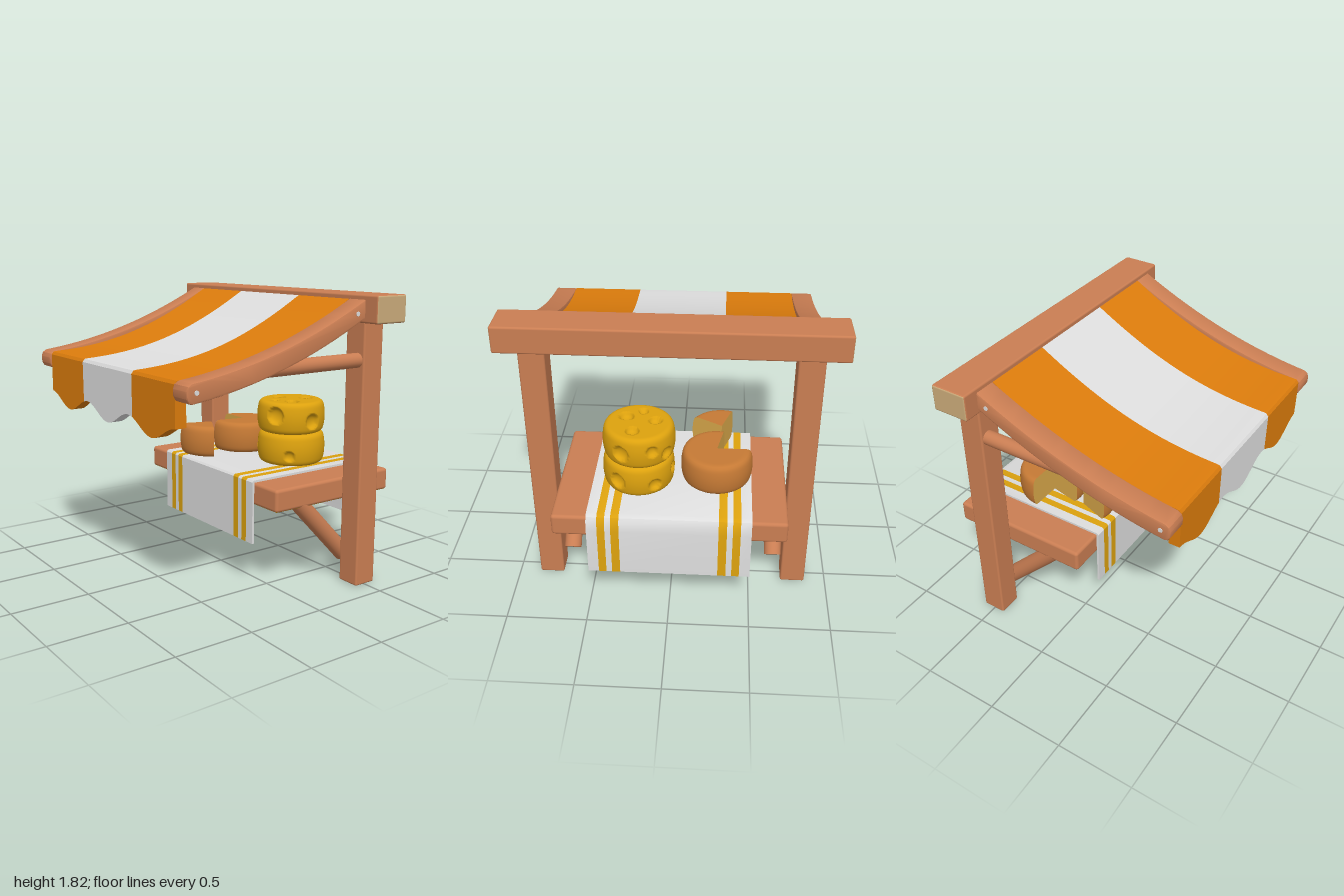
import * as THREE from 'three';
import { mergeVertices, toCreasedNormals } from 'three/addons/utils/BufferGeometryUtils.js';
import { RoundedBoxGeometry } from 'three/addons/geometries/RoundedBoxGeometry.js';

const mat = (name, color, side = THREE.FrontSide) => {
  const m = new THREE.MeshStandardMaterial({ color, side });
  m.name = name;
  return m;
};

export function createModel() {
  const group = new THREE.Group();
  const wood = mat('wood', 0xca7e53);
  const endGrain = mat('end grain', 0xcbab7a);
  const orange = mat('orange cloth', 0xdc7c0c);
  const white = mat('white cloth', 0xdedede);
  const yellow = mat('cheese yellow', 0xdda20e);
  const rind = mat('cheese rind', 0xc67a35);
  const cut = mat('cut cheese', 0xd9a84a, THREE.DoubleSide);

  const add = (name, geo, material, x = 0, y = 0, z = 0, parent = group) => {
    const m = new THREE.Mesh(geo, material);
    m.name = name;
    m.position.set(x, y, z);
    parent.add(m);
    return m;
  };
  const rbox = (w, h, d, r = 0.012) => new RoundedBoxGeometry(w, h, d, 3, r);

  // Rod between two points
  const rod = (name, a, b, r) => {
    const p = new THREE.Vector3(...a), q = new THREE.Vector3(...b);
    const m = add(name, new THREE.CylinderGeometry(r, r, p.distanceTo(q), 24), wood);
    m.position.copy(p).add(q).multiplyScalar(0.5);
    m.quaternion.setFromUnitVectors(new THREE.Vector3(0, 1, 0), q.sub(p).normalize());
  };

  // Extrude a (z, y) outline along x between x0 and x1
  const sideExtrude = (pts, x0, x1, bevel = 0) => {
    const shape = new THREE.Shape(pts.map(p => new THREE.Vector2(p[0], p[1])));
    const d = x1 - x0 - 2 * bevel;
    const g = new THREE.ExtrudeGeometry(shape, {
      depth: d, bevelEnabled: bevel > 0, bevelSize: bevel, bevelThickness: bevel, bevelOffset: -bevel, bevelSegments: 2,
    });
    g.translate(0, 0, -d / 2).rotateY(-Math.PI / 2).translate((x0 + x1) / 2, 0, 0);
    return toCreasedNormals(g, 0.5);
  };

  // Ridge beam with pale ends
  add('ridgeBeam', rbox(2, 0.165, 0.235), [endGrain, endGrain, wood, wood, wood, wood], 0, 1.745, -0.505);

  // Concave roof line from the beam to the front
  const roofY = (z, sag = 0) => {
    const t = (z + 0.39) / 1.21;
    return 1.8 - 0.38 * (1.64 * t - 0.64 * t * t) - sag * Math.sin(Math.PI * Math.min(1, Math.max(0, t)));
  };
  const band = (z0, z1, thick, sag, n = 24) => {
    const top = [], bottom = [];
    for (let i = 0; i <= n; i++) {
      const z = z0 + (z1 - z0) * i / n;
      top.push([z, roofY(z, sag)]);
      bottom.unshift([z, roofY(z, sag) - thick]);
    }
    return [top, bottom];
  };

  // Posts, rafters, braces on both sides
  for (const s of [-1, 1]) {
    add('post', rbox(0.155, 1.66, 0.155), wood, s * 0.7875, 0.84, -0.5025);
    const [top, bottom] = band(-0.41, 0.815, 0.112, 0);
    const tip = [[0.84, 1.405], [0.85, 1.38], [0.848, 1.34], [0.835, 1.316]];
    const c = s * 0.83;
    add('rafter', sideExtrude([...top, ...tip, ...bottom], c - 0.07, c + 0.07, 0.01), wood);
    rod('rafterTie', [s * 0.81, 1.435, -0.45], [s * 0.81, 1.435, 0.4], 0.045);
    rod('tableBrace', [s * 0.655, 0.6, -0.08], [s * 0.655, 0.16, -0.5], 0.055);
    for (const [z, y] of [[0.79, 1.37], [-0.33, 1.72]]) {
      const pin = add('rafterPin', new THREE.CylinderGeometry(0.014, 0.014, 0.006, 8), white, s * 0.901, y, z);
      pin.rotation.z = Math.PI / 2;
    }
  }

  // Striped canopy with a scalloped valance
  const scallop = x => 1.115 - 0.045 * Math.cos(x * Math.PI * 2 / 0.51);
  for (const [x0, x1, m] of [[-0.762, -0.305, orange], [-0.305, 0.305, white], [0.305, 0.762, orange]]) {
    const [top, bottom] = band(-0.41, 0.8, 0.05, 0.03);
    add('canopyStrip', sideExtrude([...top, [0.822, 1.418], [0.834, 1.4], [0.834, 1.36], ...bottom], x0, x1), m);
    const pts = [new THREE.Vector2(x1, 1.4), new THREE.Vector2(x0, 1.4)];
    for (let i = 0; i <= 24; i++) {
      const x = x0 + (x1 - x0) * i / 24;
      pts.push(new THREE.Vector2(x, scallop(x)));
    }
    const valance = new THREE.ExtrudeGeometry(new THREE.Shape(pts), { depth: 0.07, bevelEnabled: false });
    add('valanceStrip', toCreasedNormals(valance, 0.5), m, 0, 0, 0.765);
  }

  // Table board with a yellow underside
  add('tableTop', rbox(1.42, 0.142, 0.93, 0.02), [wood, wood, wood, yellow, wood, wood], 0, 0.615, -0.365);

  // Table runner, cut into coloured strips across its width
  const runner = [
    [0.115, 0.295], [0.115, 0.69], [0.105, 0.702], [-0.8, 0.702], [-0.83, 0.69], [-0.845, 0.66], [-0.852, 0.6], [-0.852, 0.285],
    [-0.838, 0.285], [-0.838, 0.6], [-0.833, 0.65], [-0.82, 0.678], [-0.8, 0.688], [0.101, 0.688], [0.101, 0.295],
  ];
  const edges = [-0.495, -0.43, -0.383, -0.348, -0.298, 0.298, 0.348, 0.383, 0.43, 0.495];
  for (let i = 0; i < edges.length - 1; i++) {
    add(i % 2 ? 'runnerStripe' : 'runnerCloth', sideExtrude(runner, edges[i], edges[i + 1]), i % 2 ? yellow : white);
  }

  // Rounded half outline shared by all cheese wheels
  const H = 0.207, R = 0.223;
  const wheelShape = () => {
    const s = new THREE.Shape();
    s.moveTo(0, 0);
    s.lineTo(0.18, 0);
    s.quadraticCurveTo(0.211, 0, 0.217, 0.04);
    s.quadraticCurveTo(0.229, H / 2, 0.217, H - 0.04);
    s.quadraticCurveTo(0.211, H, 0.18, H);
    s.lineTo(0, H);
    return s;
  };

  // Whole wheel with dents; side holes: [angle, height, radius], top holes: [x, z, radius]
  const holedWheel = (sides, tops) => {
    let g = new THREE.LatheGeometry(wheelShape().getSpacedPoints(70), 140);
    const holes = [
      ...sides.map(([a, y, r]) => ({ c: new THREE.Vector3(R * Math.sin(a), y, R * Math.cos(a)), n: new THREE.Vector3(-Math.sin(a), 0, -Math.cos(a)), r })),
      ...tops.map(([x, z, r]) => ({ c: new THREE.Vector3(x, H, z), n: new THREE.Vector3(0, -1, 0), r })),
    ];
    const p = g.attributes.position, v = new THREE.Vector3();
    for (let i = 0; i < p.count; i++) {
      v.fromBufferAttribute(p, i);
      for (const { c, n, r } of holes) {
        const d = v.distanceTo(c);
        if (d < r) {
          v.addScaledVector(n, 0.75 * Math.sqrt(r * r - d * d));
          break;
        }
      }
      p.setXYZ(i, v.x, v.y, v.z);
    }
    g.deleteAttribute('normal');
    g.deleteAttribute('uv');
    g = mergeVertices(g, 1e-4);
    g.computeVertexNormals();
    return g;
  };
  add('lowerCheese', holedWheel(
    [[-0.93, 0.075, 0.036], [-0.62, 0.125, 0.028], [0.83, 0.07, 0.034], [2.6, 0.1, 0.05], [3.7, 0.08, 0.04], [4.5, 0.12, 0.036]], []),
  yellow, 0.21, 0.7, -0.425);
  add('upperCheese', holedWheel(
    [[0.39, 0.125, 0.055], [1.57, 0.085, 0.05], [2.7, 0.1, 0.05], [3.6, 0.12, 0.036], [4.1, 0.07, 0.042], [4.9, 0.1, 0.036]],
    [[-0.1, 0.02, 0.04], [0.03, -0.1, 0.042], [0.08, 0.06, 0.045], [-0.02, 0.12, 0.03]]),
  yellow, 0.205, 0.907, -0.425);

  // Rind sector closed by two cut faces
  const sector = (name, start, length, x, z) => {
    const g = new THREE.Group();
    g.name = name;
    g.position.set(x, 0.702, z);
    group.add(g);
    add('rind', new THREE.LatheGeometry(wheelShape().getSpacedPoints(40), 48, start, length), rind, 0, 0, 0, g);
    for (const a of [start, start + length]) {
      add('cutFace', new THREE.ShapeGeometry(wheelShape(), 8), cut, 0, 0, 0, g).rotation.y = a - Math.PI / 2;
    }
  };
  const a0 = -Math.PI / 2, a1 = -0.2;
  sector('cutWheel', a1, Math.PI * 2 - (a1 - a0), -0.275, -0.385);
  sector('cheeseWedge', -0.33, a1 - a0, -0.3, -0.132);

  return group;
}
